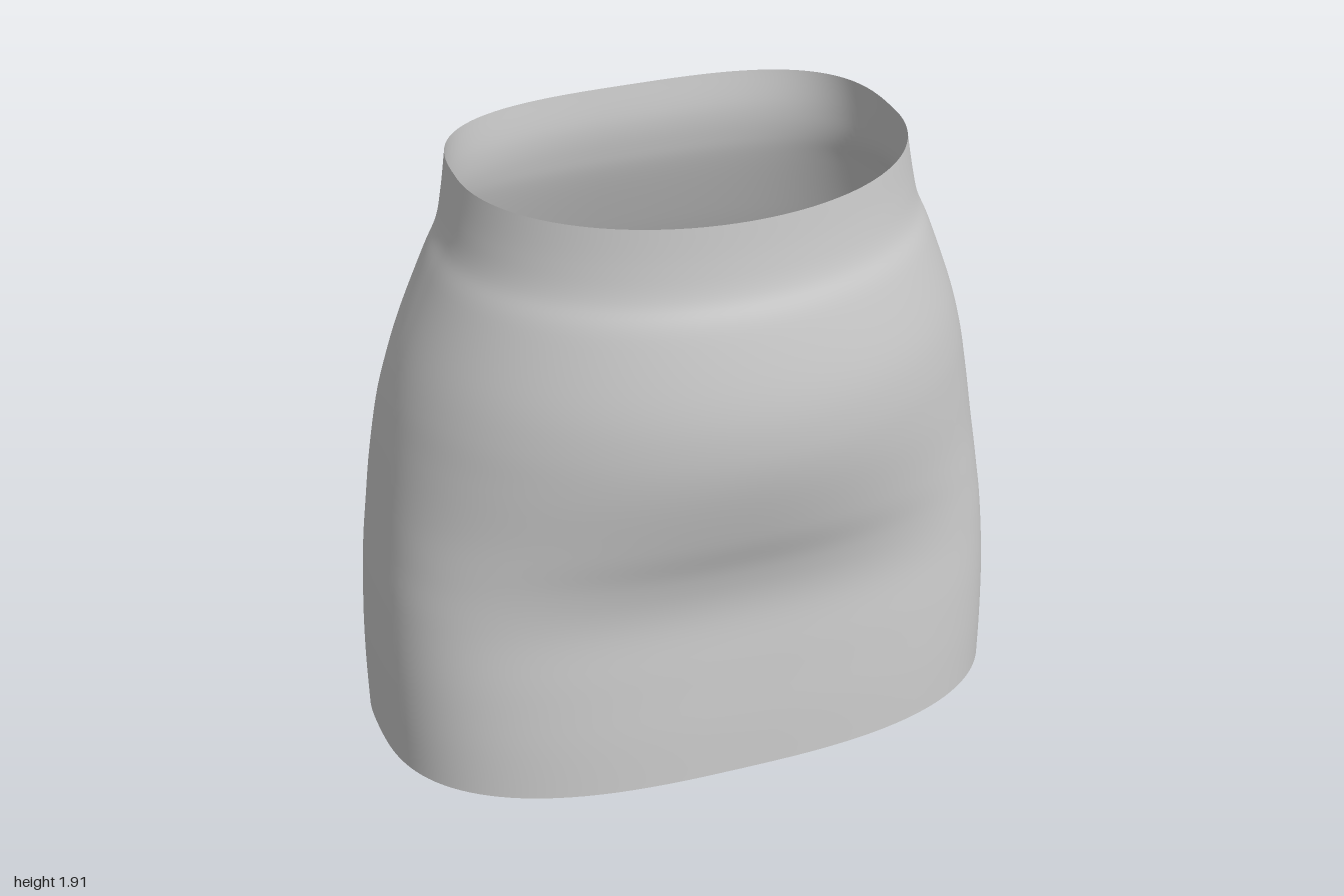
import * as THREE from 'three';

// Cross-sections from hem to waist:
// height, half width, front z, back z, z of widest point, front and back roundness
const SECTIONS = [
  [0.00, 0.995, 0.58, -0.55, 0.00, 2.75, 2.6],
  [0.20, 0.998, 0.575, -0.585, 0.00, 2.75, 2.55],
  [0.40, 0.995, 0.565, -0.64, 0.00, 2.75, 2.45],
  [0.60, 0.982, 0.556, -0.685, 0.00, 2.7, 2.4],
  [0.75, 0.965, 0.58, -0.693, 0.00, 2.5, 2.4],
  [0.90, 0.948, 0.63, -0.678, 0.00, 2.22, 2.4],
  [1.10, 0.92, 0.68, -0.622, 0.00, 2.05, 2.4],
  [1.25, 0.89, 0.695, -0.563, 0.01, 2.0, 2.4],
  [1.40, 0.845, 0.685, -0.50, 0.02, 2.0, 2.5],
  [1.60, 0.768, 0.645, -0.425, 0.04, 2.0, 2.7],
  [1.70, 0.723, 0.612, -0.40, 0.05, 2.0, 2.8],
  [1.80, 0.70, 0.597, -0.39, 0.05, 2.0, 2.9],
  [1.915, 0.68, 0.588, -0.40, 0.05, 2.0, 3.0],
];
const RINGS = 72;
const SIDES = 128;

// One smooth curve per section property
const curves = SECTIONS[0].map((_, k) =>
  new THREE.SplineCurve(SECTIONS.map((row, i) => new THREE.Vector2(i, row[k]))));

const signedPower = (v, p) => Math.sign(v) * Math.pow(Math.abs(v), p);

function skirtGeometry() {
  const positions = [];
  const indices = [];
  for (let r = 0; r <= RINGS; r++) {
    const [y, halfWidth, front, back, mid, nFront, nBack] =
      curves.map((curve) => curve.getPoint(r / RINGS).y);
    for (let s = 0; s < SIDES; s++) {
      const a = (s / SIDES) * Math.PI * 2;
      const c = Math.abs(Math.cos(a)) < 1e-9 ? 0 : Math.cos(a);
      const d = Math.abs(Math.sin(a)) < 1e-9 ? 0 : Math.sin(a);
      const p = 2 / (d >= 0 ? nFront : nBack);
      const depth = d >= 0 ? front - mid : mid - back;
      // The hem rises at the sides and a little at the front
      const lift = (0.045 * c * c + 0.025 * Math.max(d, 0) ** 2) * Math.max(0, 1 - y / 0.3);
      positions.push(halfWidth * signedPower(c, p), y + lift, mid + depth * signedPower(d, p));
      if (r < RINGS) {
        const i = r * SIDES + s;
        const j = r * SIDES + ((s + 1) % SIDES);
        indices.push(i, i + SIDES, j, j, i + SIDES, j + SIDES);
      }
    }
  }
  const geometry = new THREE.BufferGeometry();
  geometry.setAttribute('position', new THREE.Float32BufferAttribute(positions, 3));
  geometry.setIndex(indices);
  geometry.computeVertexNormals();
  return geometry;
}

export function createModel() {
  const model = new THREE.Group();
  model.name = 'skirt';
  // Open fabric shell, seen from inside and outside
  const material = new THREE.MeshStandardMaterial({ color: 0xcccccc, side: THREE.DoubleSide });
  const shell = new THREE.Mesh(skirtGeometry(), material);
  shell.name = 'skirtShell';
  model.add(shell);
  return model;
}
